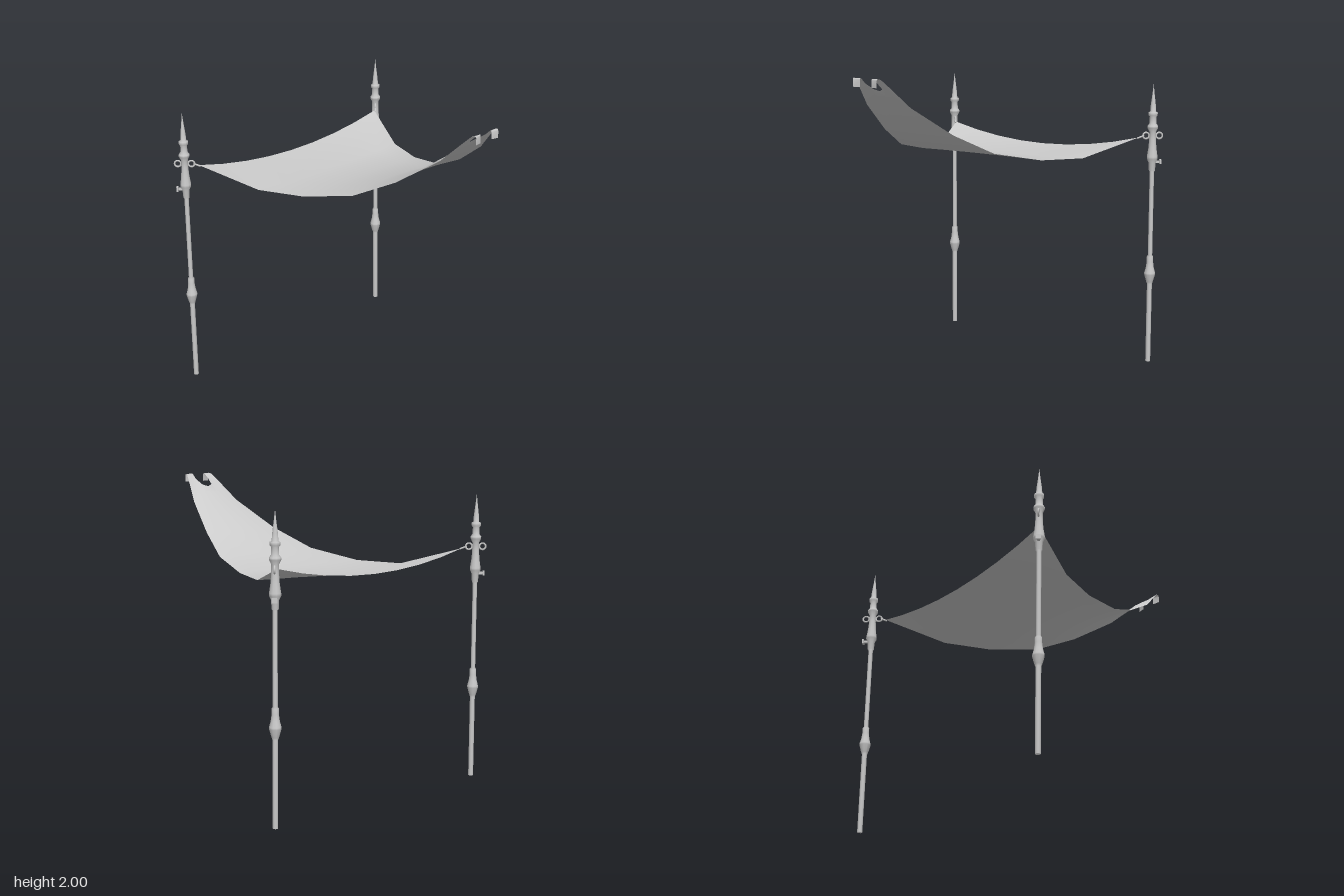
import * as THREE from 'three';

const grey = new THREE.MeshStandardMaterial({ color: 0xcccccc });
const clothGrey = new THREE.MeshStandardMaterial({ color: 0xcccccc, side: THREE.DoubleSide });

function add(parent, name, geometry, material = grey) {
  const mesh = new THREE.Mesh(geometry, material);
  mesh.name = name;
  parent.add(mesh);
  return mesh;
}

// Skin a surface over equal-length rows of [x, y, z] points
function skin(rows) {
  const n = rows[0].length, index = [];
  for (let i = 0; i < rows.length - 1; i++) {
    for (let j = 0; j < n - 1; j++) {
      const a = i * n + j, c = a + n;
      index.push(a, c, a + 1, a + 1, c, c + 1);
    }
  }
  const g = new THREE.BufferGeometry();
  g.setAttribute('position', new THREE.Float32BufferAttribute(rows.flat(2), 3));
  g.setIndex(index);
  g.computeVertexNormals();
  return g;
}

function createSail() {
  const sail = new THREE.Group();
  sail.name = 'sail';
  // Each row: side edge x, y, z, then centre y, z
  const sections = [
    [0.82, 1.55, -0.835, 1.45, -0.835],
    [0.64, 1.43, -0.45, 1.415, -0.45],
    [0.525, 1.435, -0.15, 1.44, -0.15],
    [0.41, 1.5, 0.19, 1.51, 0.14],
    [0.30, 1.632, 0.46, 1.635, 0.43],
    [0.19, 1.815, 0.73, 1.88, 0.78],
  ];
  const columns = [-1, -0.75, -0.5, -0.25, 0, 0.25, 0.5, 0.75, 1];
  const rows = sections.map(([x, y, z, cy, cz]) =>
    columns.map(u => [u * x, cy + (y - cy) * u * u, cz + (z - cz) * u * u]));
  // Notched front edge, from the centre outwards
  const notch = [[0, 1.915, 0.81], [0.04, 1.928, 0.825], [0.055, 1.965, 0.88],
    [0.09, 1.962, 0.875], [0.127, 1.957, 0.87]];
  rows.push(columns.map(u => {
    const [x, y, z] = notch[Math.abs(u) * 4];
    return [Math.sign(u) * x, y, z];
  }));
  add(sail, 'cloth', skin(rows), clothGrey);

  // Two tabs that fold over and hang down
  const tab = [
    [[0.055, 1.965, 0.88], [0.127, 1.957, 0.87]],
    [[0.052, 1.993, 0.912], [0.11, 1.995, 0.91]],
    [[0.05, 2, 0.925], [0.104, 2, 0.932]],
    [[0.05, 1.99, 0.93], [0.102, 1.99, 0.94]],
    [[0.05, 1.945, 0.93], [0.102, 1.945, 0.94]],
  ];
  for (const s of [-1, 1]) {
    const side = tab.map(row => {
      const r = row.map(([x, y, z]) => [s * x, y, z]);
      return s < 0 ? r.reverse() : r;
    });
    add(sail, s < 0 ? 'rightTab' : 'leftTab', skin(side), clothGrey);
  }
  return sail;
}

// Post with local +x pointing away from the sail
function createPost(name) {
  const post = new THREE.Group();
  post.name = name;
  // Turned profile: radius, height
  const profile = [
    [0, 0], [0.017, 0], [0.017, 0.545], [0.023, 0.56], [0.037, 0.61], [0.037, 0.622],
    [0.027, 0.66], [0.022, 0.70], [0.022, 0.735], [0.015, 0.745],
    [0.015, 1.32], [0.021, 1.325], [0.024, 1.38], [0.036, 1.405], [0.036, 1.42],
    [0.027, 1.48], [0.023, 1.54], [0.023, 1.59], [0.036, 1.615], [0.036, 1.628],
    [0.024, 1.645], [0.022, 1.69], [0.031, 1.70], [0.031, 1.72], [0.02, 1.725],
    [0.017, 1.77], [0.008, 1.84], [0, 1.91],
  ].map(([r, y]) => new THREE.Vector2(r, y));
  add(post, 'pole', new THREE.LatheGeometry(profile, 10));

  // Ring on the inner and outer face
  for (const s of [-1, 1]) {
    const ring = add(post, s < 0 ? 'innerRing' : 'outerRing',
      new THREE.TorusGeometry(0.021, 0.006, 6, 14));
    ring.position.set(s * 0.045, 1.563, 0);
  }

  // Cleat: short stem with a crossbar
  const stem = add(post, 'cleatStem', new THREE.BoxGeometry(0.035, 0.016, 0.016));
  stem.position.set(0.04, 1.385, 0);
  const bar = add(post, 'cleatBar', new THREE.BoxGeometry(0.012, 0.03, 0.032));
  bar.position.set(0.056, 1.385, 0);

  // Lashing from the inner ring to the sail corner
  const path = new THREE.LineCurve3(
    new THREE.Vector3(-0.058, 1.563, 0), new THREE.Vector3(-0.105, 1.545, 0));
  add(post, 'lashing', new THREE.TubeGeometry(path, 1, 0.006, 6));
  return post;
}

export function createModel() {
  const model = new THREE.Group();
  model.name = 'shadeSail';
  model.add(createSail());
  for (const s of [-1, 1]) {
    const post = createPost(s < 0 ? 'rightPost' : 'leftPost');
    post.position.set(s * 0.89, 0, -0.895);
    post.rotation.y = s < 0 ? Math.PI * 0.75 : Math.PI * 0.25;
    model.add(post);
  }
  return model;
}
